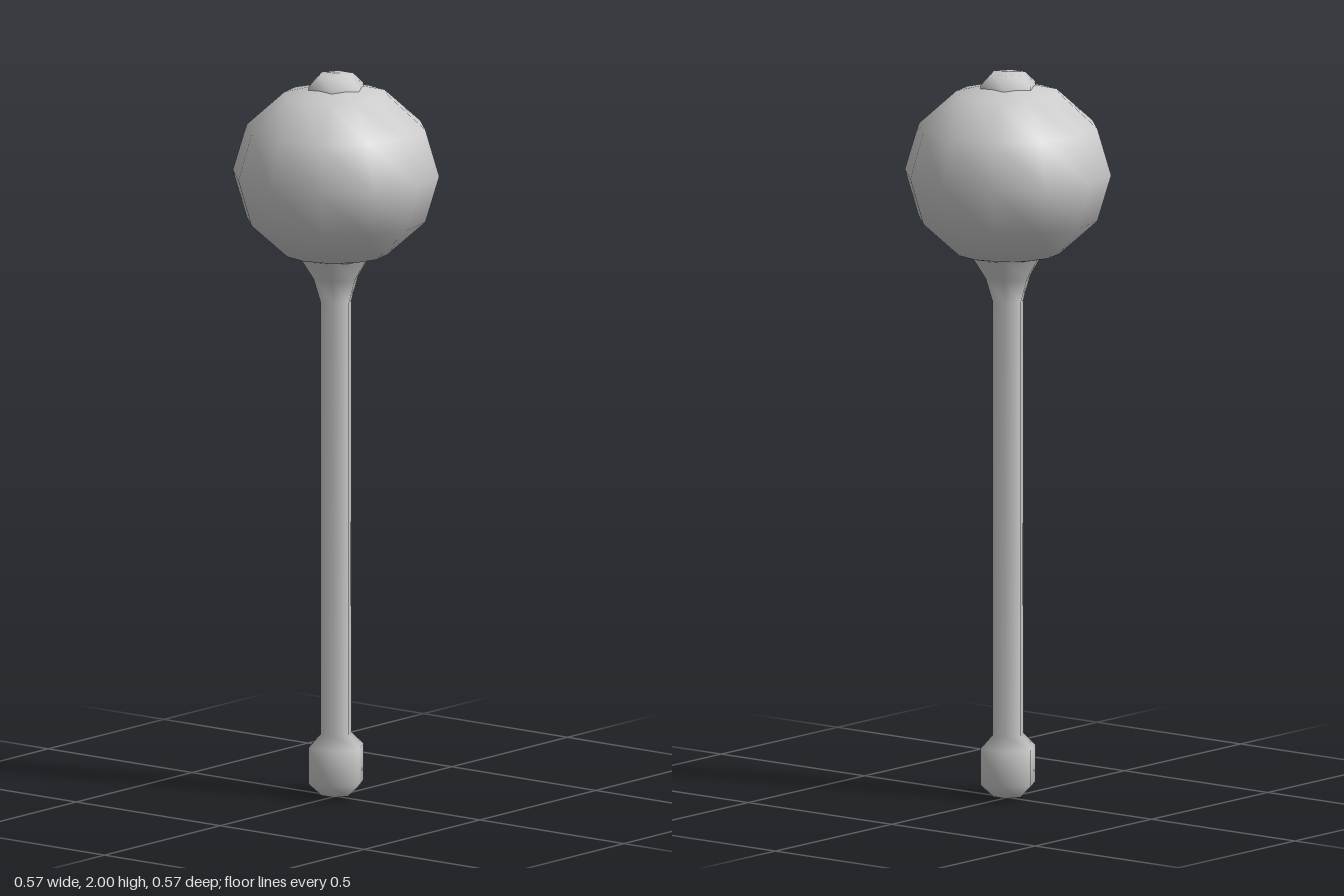
import * as THREE from 'three';

const material = new THREE.MeshStandardMaterial({ color: 0xcccccc });

// Six-sided turned part from [radius, height] pairs, bottom to top, corners on the x axis
function turned(name, profile) {
  const points = profile.map(([r, y]) => new THREE.Vector2(r, y));
  const mesh = new THREE.Mesh(new THREE.LatheGeometry(points, 6, Math.PI / 6), material);
  mesh.name = name;
  return mesh;
}

export function createModel() {
  const group = new THREE.Group();
  group.name = 'mace';

  // Rounded pommel, slim shaft and flared collar under the head
  group.add(turned('handle', [
    [0, 0], [0.042, 0.005], [0.08, 0.04], [0.08, 0.14], [0.045, 0.175],
    [0.045, 1.37], [0.065, 1.435], [0.107, 1.5], [0.115, 1.53],
  ]));

  // Slightly flattened ball head
  const head = new THREE.Mesh(new THREE.SphereGeometry(0.283, 12, 6), material);
  head.name = 'head';
  head.scale.y = 0.9;
  head.position.y = 1.723;
  group.add(head);

  // Small cap on top of the head
  group.add(turned('cap', [[0.08, 1.94], [0.08, 1.968], [0.05, 1.997], [0, 2]]));

  return group;
}
